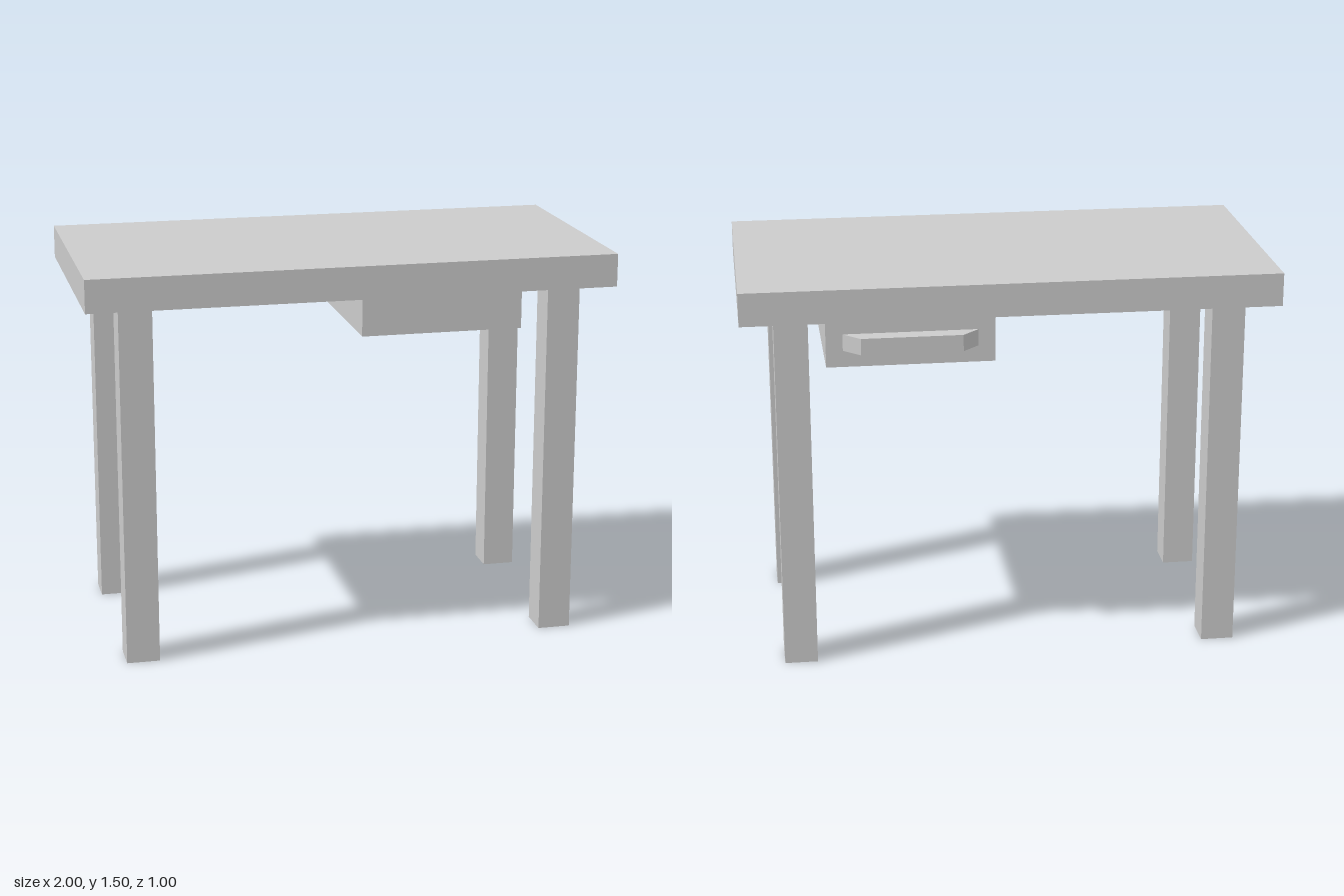
import * as THREE from 'three';

export function createModel() {
  const table = new THREE.Group();
  table.name = 'table';
  const material = new THREE.MeshStandardMaterial({ color: 0xcccccc, flatShading: true });

  const add = (name, geometry, x, y, z) => {
    const mesh = new THREE.Mesh(geometry, material);
    mesh.name = name;
    mesh.position.set(x, y, z);
    table.add(mesh);
  };

  // Table top
  add('tableTop', new THREE.BoxGeometry(2, 0.125, 1), 0, 1.4375, 0);

  // Four square legs, set in from the edges
  const legGeometry = new THREE.BoxGeometry(0.125, 1.375, 0.125);
  for (const [side, x] of [['Left', 0.8125], ['Right', -0.8125]]) {
    for (const [end, z] of [['front', 0.375], ['back', -0.375]]) {
      add(`${end}${side}Leg`, legGeometry, x, 0.6875, z);
    }
  }

  // Drawer hung under the top, opening to the back
  add('drawer', new THREE.BoxGeometry(0.625, 0.1875, 0.75), 0.375, 1.28125, -0.0625);

  // Drawer handle: a bar with slanted ends, narrower on the outside
  const outline = new THREE.Shape([
    new THREE.Vector2(-0.25, 0),
    new THREE.Vector2(0.25, 0),
    new THREE.Vector2(0.1875, 0.0625),
    new THREE.Vector2(-0.1875, 0.0625),
  ]);
  const handle = new THREE.ExtrudeGeometry(outline, { depth: 0.0625, bevelEnabled: false });
  handle.rotateX(-Math.PI / 2);
  add('drawerHandle', handle, 0.375, 1.25, -0.4375);

  return table;
}
